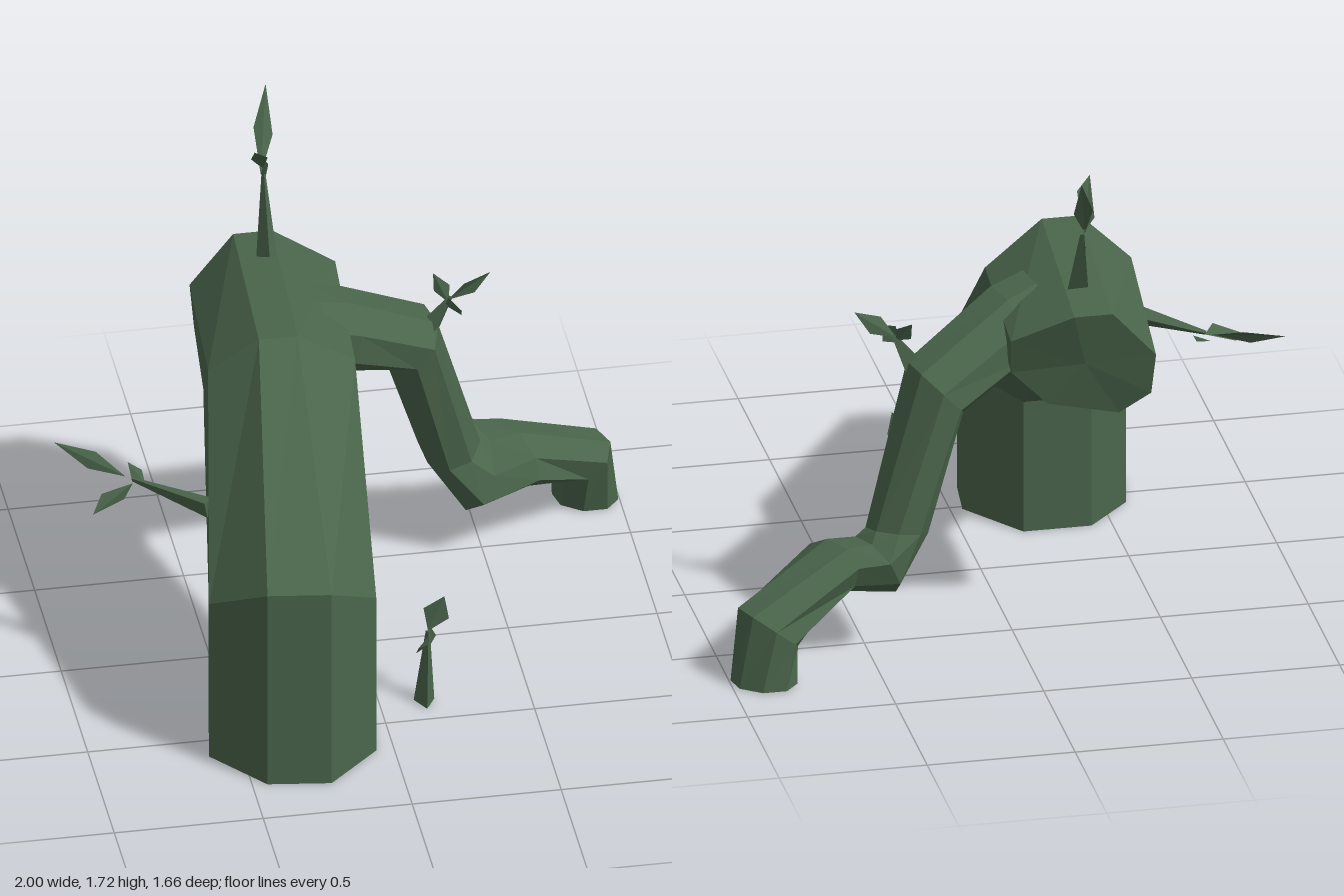
import * as THREE from 'three';

const V = (p) => new THREE.Vector3(...p);
const bark = new THREE.MeshStandardMaterial({ color: 0x4a654b, flatShading: true, side: THREE.DoubleSide });

// Skin a list of rings (equal point counts); optionally close the last one
function loft(rings, capEnd) {
  const n = rings[0].length, pos = rings.flat().flatMap((p) => p.toArray()), idx = [];
  for (let i = 0; i < rings.length - 1; i++) {
    for (let k = 0; k < n; k++) {
      const a = i * n + k, b = i * n + (k + 1) % n;
      idx.push(a, b, b + n, a, b + n, a + n);
    }
  }
  if (capEnd) {
    const last = (rings.length - 1) * n, c = new THREE.Vector3();
    rings.at(-1).forEach((p) => c.addScaledVector(p, 1 / n));
    pos.push(...c.toArray());
    for (let k = 0; k < n; k++) idx.push(last + k, last + (k + 1) % n, last + n);
  }
  const g = new THREE.BufferGeometry();
  g.setAttribute('position', new THREE.Float32BufferAttribute(pos, 3));
  g.setIndex(idx);
  g.computeVertexNormals();
  return g;
}

// Octagonal ring around c spanned by half-axes u and s
function ring(c, u, s, n = 8) {
  return Array.from({ length: n }, (_, k) => {
    const a = ((k + 0.5) / n) * Math.PI * 2, f = 1.05;
    return V(c).addScaledVector(V(u), f * Math.cos(a)).addScaledVector(V(s), f * Math.sin(a));
  });
}

function mesh(name, geometry) {
  const m = new THREE.Mesh(geometry, bark);
  m.name = name;
  return m;
}

// Thin diamond leaf, slightly folded along its middle
function leaf([base, tip, side]) {
  const b = V(base), t = V(tip), w = V(side);
  const mid = b.clone().lerp(t, 0.48);
  const fold = t.clone().sub(b).cross(w).normalize().multiplyScalar(0.008);
  const pts = [b, mid.clone().add(w).add(fold), t, mid.clone().sub(w).add(fold)];
  const g = new THREE.BufferGeometry().setFromPoints(pts);
  g.setIndex([0, 1, 2, 0, 2, 3]);
  g.computeVertexNormals();
  return mesh('leaf', g);
}

// Tapered three-sided stem with leaves at its tip
function sprout(name, base, tip, leaves) {
  const g = new THREE.Group();
  g.name = name;
  const dir = V(tip).sub(V(base));
  const stem = mesh('stem', new THREE.CylinderGeometry(0.008, 0.04, dir.length(), 3));
  stem.position.copy(V(base)).addScaledVector(dir, 0.5);
  stem.quaternion.setFromUnitVectors(new THREE.Vector3(0, 1, 0), dir.normalize());
  g.add(stem, ...leaves.map(leaf));
  return g;
}

export function createModel() {
  const group = new THREE.Group();
  group.name = 'archedRoot';

  // Thick trunk: upright stump, slanted rise, closed rear end
  const plan = [[-0.24, 0.83], [-0.06, 0.66], [-0.04, 0.48], [-0.2, 0.26],
    [-0.43, 0.26], [-0.58, 0.42], [-0.61, 0.6], [-0.45, 0.8]];
  const bend = [0.74, 0.6, 0.51, 0.47, 0.47, 0.51, 0.6, 0.74];
  const apex = [[-0.21, 1.24, 0.02], [-0.01, 1.1, -0.02], [-0.02, 0.97, -0.11], [-0.18, 0.83, -0.23],
    [-0.38, 0.83, -0.23], [-0.5, 0.97, -0.13], [-0.5, 1.1, -0.04], [-0.34, 1.24, 0.02]];
  const end = [[-0.17, 1.2, -0.69], [0.03, 1.1, -0.62], [0.02, 0.97, -0.58], [-0.1, 0.85, -0.59],
    [-0.34, 0.8, -0.6], [-0.44, 0.88, -0.64], [-0.45, 1.03, -0.67], [-0.3, 1.2, -0.69]];
  group.add(mesh('trunk', loft([
    plan.map(([x, z]) => V([x, 0, z])),
    plan.map(([x, z], i) => V([x, bend[i], z])),
    apex.map(V), end.map(V),
  ], true)));

  // Side branch that drops, kinks at a knee and ends in an open foot
  group.add(mesh('branch', loft([
    ring([-0.1, 1.06, -0.31], [0.0, 0.13, 0], [0.03, 0, 0.14]),
    ring([0, 1.02, -0.34], [0.01, 0.135, 0], [0.04, 0, 0.15]),
    ring([0.25, 0.885, -0.45], [0.075, 0.08, -0.01], [0.03, 0, 0.15]),
    ring([0.395, 0.41, -0.525], [0.095, 0.02, -0.02], [0.02, -0.03, 0.115]),
    ring([0.47, 0.3, -0.54], [0.05, 0.11, -0.04], [0.04, -0.02, 0.14]),
    ring([0.62, 0.32, -0.56], [-0.01, 0.09, -0.03], [0.06, 0, 0.12]),
    ring([0.87, 0.185, -0.71], [0.08, 0.065, -0.01], [0.04, 0, 0.11]),
    ring([0.89, 0, -0.74], [0.1, 0, 0], [0.02, 0, 0.09]),
  ], false)));

  // Sprouts: each leaf is [base, tip, half width]
  group.add(
    sprout('topSprout', [-0.22, 1.23, -0.49], [-0.21, 1.47, -0.62], [
      [[-0.21, 1.48, -0.64], [-0.26, 1.63, -0.51], [0.02, 0.03, 0.045]],
      [[-0.22, 1.47, -0.62], [-0.175, 1.72, -0.78], [0.03, -0.01, 0.012]],
      [[-0.21, 1.44, -0.61], [-0.2, 1.47, -0.73], [0.01, 0.03, 0.01]],
    ]),
    sprout('leftSprout', [-0.55, 0.76, 0.26], [-0.77, 0.76, 0.05], [
      [[-0.79, 0.76, 0.03], [-1, 0.81, -0.14], [0.015, 0.025, -0.01]],
      [[-0.77, 0.75, 0.06], [-0.92, 0.7, 0.15], [0.03, 0.015, 0.045]],
      [[-0.73, 0.75, 0.06], [-0.77, 0.77, -0.04], [0.02, 0.005, -0.015]],
    ]),
    sprout('groundSprout', [0.15, 0, 0.4], [0.16, 0.28, 0.4], [
      [[0.16, 0.28, 0.4], [0.215, 0.41, 0.4], [0.04, -0.015, 0.015]],
      [[0.16, 0.23, 0.41], [0.11, 0.28, 0.5], [0.02, 0.03, 0]],
      [[0.16, 0.21, 0.4], [0.18, 0.25, 0.33], [0.015, 0.02, 0.01]],
    ]),
    sprout('branchSprout', [0.31, 0.94, -0.4], [0.38, 1.06, -0.4], [
      [[0.37, 1.05, -0.4], [0.51, 1.15, -0.39], [-0.02, 0.025, 0.01]],
      [[0.37, 1.04, -0.4], [0.33, 1.12, -0.46], [0.025, 0.015, 0.01]],
      [[0.36, 1.03, -0.4], [0.4, 1.06, -0.31], [0.02, -0.03, 0.01]],
    ]),
  );
  return group;
}
